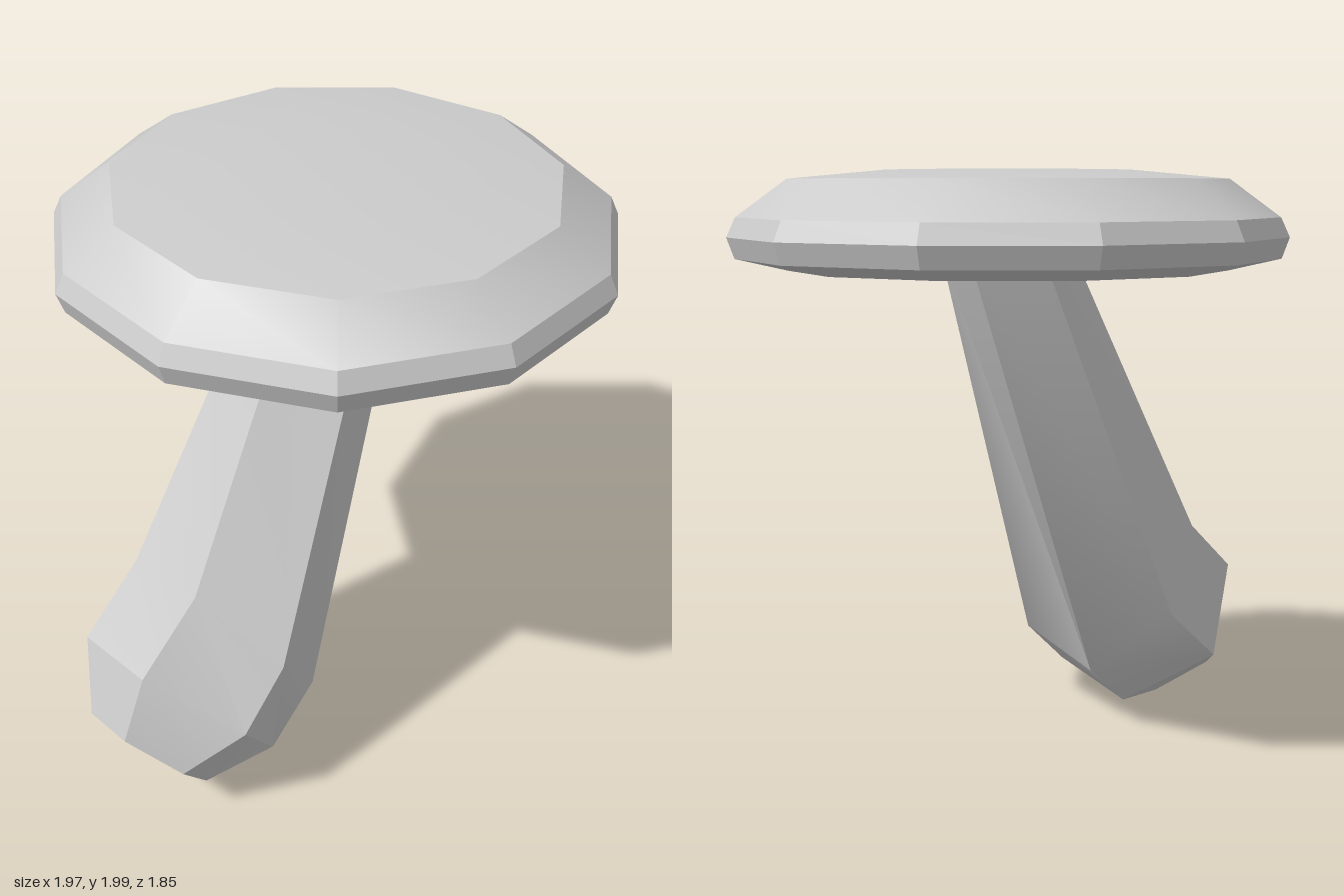
import * as THREE from 'three';
import { toCreasedNormals } from 'three/addons/utils/BufferGeometryUtils.js';

const CREASE = 0.5;
const material = new THREE.MeshStandardMaterial({ color: 0xcccccc });

// Six-sided ring: a centre and three corners; the rest mirror through the centre
function hexRing(c, ...corners) {
  return [...corners, ...corners.map(p => p.map((v, k) => 2 * c[k] - v))];
}

// Skin over rings ordered from top to bottom, closed at both ends
function loft(rings, centres) {
  const pos = [];
  const tri = (a, b, c) => pos.push(...a, ...b, ...c);
  const last = rings.length - 1;
  for (let i = 0; i < 6; i++) {
    const j = (i + 1) % 6;
    for (let r = 0; r < last; r++) {
      const [a, b, c, d] = [rings[r][i], rings[r + 1][i], rings[r + 1][j], rings[r][j]];
      tri(a, b, c);
      tri(a, c, d);
    }
    tri(rings[0][i], rings[0][j], centres[0]);
    tri(rings[last][i], centres[last], rings[last][j]);
  }
  const geometry = new THREE.BufferGeometry();
  geometry.setAttribute('position', new THREE.Float32BufferAttribute(pos, 3));
  return toCreasedNormals(geometry, CREASE);
}

function makeCap() {
  // Profile from the hollow underside, around the rim, to the top
  const profile = [
    [0, 1.74], [0.4, 1.72], [0.735, 1.67], [0.91, 1.71], [0.935, 1.78],
    [0.905, 1.845], [0.735, 1.97], [0.41, 2.0], [0, 1.99],
  ].map(([r, y]) => new THREE.Vector2(r, y));
  const geometry = new THREE.LatheGeometry(profile, 11, 0.063);
  const cap = new THREE.Mesh(toCreasedNormals(geometry, CREASE), material);
  cap.position.set(0.065, 0, -0.012);
  cap.name = 'cap';
  return cap;
}

function makeStem() {
  // Neck inside the cap, shoulder, bulb and foot
  const centres = [
    [0.065, 1.73, 0], [-0.475, 0.5, 0.185], [-0.685, 0.32, 0.255], [-0.84, 0.185, 0.315],
  ];
  const rings = [
    hexRing(centres[0], [-0.14, 1.73, 0.11], [0.075, 1.73, 0.22], [0.27, 1.73, 0.09]),
    hexRing(centres[1], [-0.65, 0.8, 0.34], [-0.44, 0.57, 0.55], [-0.25, 0.29, 0.4]),
    hexRing(centres[2], [-0.88, 0.6, 0.41], [-0.62, 0.41, 0.62], [-0.44, 0.12, 0.46]),
    hexRing(centres[3], [-0.96, 0.36, 0.41], [-0.81, 0.24, 0.53], [-0.69, 0.06, 0.44]),
  ];
  const stem = new THREE.Mesh(loft(rings, centres), material);
  stem.name = 'stem';
  return stem;
}

export function createModel() {
  const mushroom = new THREE.Group();
  mushroom.name = 'mushroom';
  mushroom.add(makeCap(), makeStem());
  return mushroom;
}
